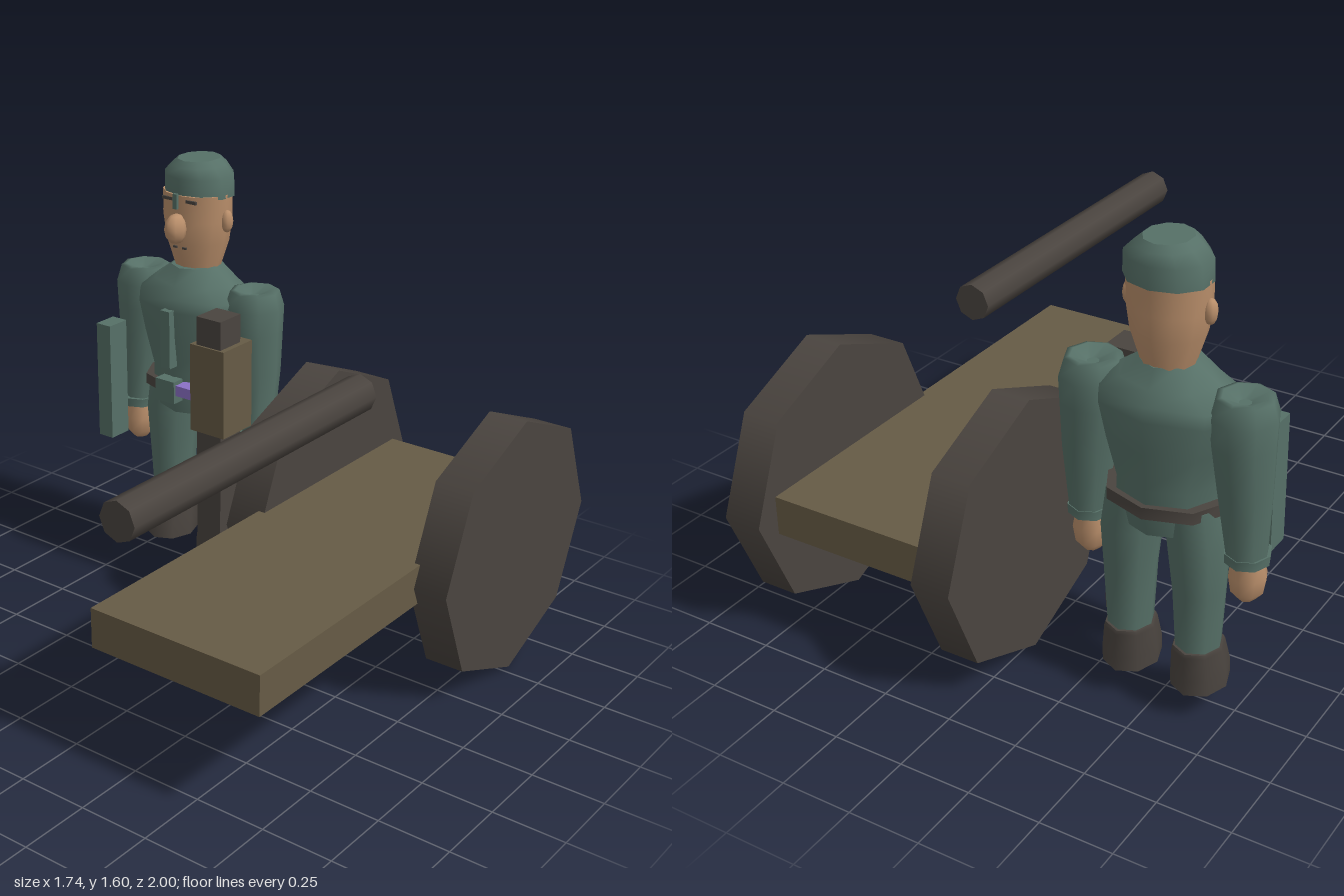
import * as THREE from 'three';

const mat = (name, color) => {
  const m = new THREE.MeshStandardMaterial({ color });
  m.name = name;
  return m;
};

// Loft through elliptical rings listed bottom to top: [y, rx, rz, cx, cz]
function loft(rings, n = 8) {
  const pos = [], idx = [];
  const point = ([y, rx, rz, cx = 0, cz = 0], j) => {
    const a = (j / n) * Math.PI * 2;
    pos.push(cx + Math.sin(a) * rx, y, cz + Math.cos(a) * rz);
  };
  rings.forEach((r) => { for (let j = 0; j < n; j++) point(r, j); });
  for (let i = 0; i < rings.length - 1; i++) {
    for (let j = 0; j < n; j++) {
      const a = i * n + j, b = i * n + (j + 1) % n;
      idx.push(a, b, b + n, a, b + n, a + n);
    }
  }
  // End caps keep their own vertices so the rim stays sharp
  [rings[0], rings[rings.length - 1]].forEach((r, top) => {
    const s = pos.length / 3;
    for (let j = 0; j < n; j++) point(r, j);
    for (let j = 1; j < n - 1; j++) {
      if (top) idx.push(s, s + j, s + j + 1);
      else idx.push(s, s + j + 1, s + j);
    }
  });
  const g = new THREE.BufferGeometry();
  g.setAttribute('position', new THREE.Float32BufferAttribute(pos, 3));
  g.setIndex(idx);
  g.computeVertexNormals();
  return g;
}

export function createModel() {
  const cloth = mat('uniform green', 0x567067);
  const dark = mat('dark metal', 0x4a443f);
  const wood = mat('wood brown', 0x665b45);
  const skin = mat('skin', 0xba8f6b);
  const purple = mat('purple', 0x8b70c6);

  const model = new THREE.Group();
  const add = (parent, name, geo, material, x = 0, y = 0, z = 0) => {
    const m = new THREE.Mesh(geo, material);
    m.name = name;
    m.position.set(x, y, z);
    parent.add(m);
    return m;
  };
  // Box given by its limits on each axis
  const box = (parent, name, material, x0, x1, y0, y1, z0, z1) =>
    add(parent, name, new THREE.BoxGeometry(x1 - x0, y1 - y0, z1 - z0), material,
      (x0 + x1) / 2, (y0 + y1) / 2, (z0 + z1) / 2);
  const ball = (parent, name, material, rx, ry, rz, x, y, z) =>
    add(parent, name, new THREE.SphereGeometry(1, 8, 6).scale(rx, ry, rz), material, x, y, z);

  // Gun carriage: deck, two wheels and the barrel
  const carriage = new THREE.Group();
  carriage.name = 'carriage';
  model.add(carriage);
  box(carriage, 'deck', wood, 0.095, 0.745, 0.4, 0.54, -0.91, 0.765);
  for (const x of [0.05, 0.795]) {
    add(carriage, 'wheel', new THREE.CylinderGeometry(0.465, 0.465, 0.14, 8).rotateZ(Math.PI / 2), dark, x, 0.465, -0.535);
  }
  add(carriage, 'barrel', new THREE.CylinderGeometry(0.065, 0.065, 1.21, 8).rotateX(Math.PI / 2), dark, 0.42, 1.025, 0.395);

  // Soldier, built around its own vertical axis
  const soldier = new THREE.Group();
  soldier.name = 'soldier';
  soldier.position.set(-0.508, 0, -0.53);
  model.add(soldier);

  // Jacket and belt
  add(soldier, 'jacket', loft([
    [0.66, 0.155, 0.13], [0.74, 0.175, 0.145], [0.82, 0.17, 0.145], [0.95, 0.215, 0.16],
    [1.06, 0.25, 0.165], [1.105, 0.25, 0.155], [1.15, 0.17, 0.13], [1.21, 0.085, 0.1],
  ]), cloth, 0, 0, 0.01);
  add(soldier, 'belt', loft([[0.735, 0.21, 0.165], [0.775, 0.21, 0.165]]), dark, 0, 0, 0.01);
  box(soldier, 'buckle', cloth, -0.043, 0.043, 0.72, 0.805, 0.15, 0.2);
  box(soldier, 'beltPouch', purple, 0.04, 0.142, 0.75, 0.79, 0.13, 0.19);
  box(soldier, 'chestStrap', cloth, -0.021, 0.021, 0.85, 1.07, 0.13, 0.195);

  // Head, cap and face
  add(soldier, 'head', loft([
    [1.18, 0.08, 0.08], [1.21, 0.088, 0.085], [1.3, 0.118, 0.108], [1.38, 0.131, 0.113], [1.48, 0.133, 0.113],
  ], 12), skin);
  add(soldier, 'cap', loft([
    [1.468, 0.138, 0.116], [1.54, 0.135, 0.12], [1.575, 0.1, 0.105], [1.597, 0.075, 0.085],
  ], 10), cloth, 0, 0, -0.01);
  ball(soldier, 'nose', skin, 0.038, 0.056, 0.05, 0, 1.362, 0.125);
  box(soldier, 'capBadge', cloth, -0.009, 0.009, 1.435, 1.49, 0.12, 0.132);

  // Paired parts
  for (const s of [-1, 1]) {
    ball(soldier, 'ear', skin, 0.022, 0.042, 0.024, s * 0.133, 1.385, 0);
    box(soldier, 'eye', dark, s * 0.054 - 0.023, s * 0.054 + 0.023, 1.457, 1.468, 0.1, 0.109);
    box(soldier, 'mouthMark', dark, s * 0.021 - 0.009, s * 0.021 + 0.009, 1.284, 1.291, 0.1, 0.108);

    const arm = s * 0.255, wrist = s * 0.275;
    add(soldier, 'arm', loft([
      [0.62, 0.065, 0.07, wrist, 0.01], [0.85, 0.088, 0.09, s * 0.267], [1.0, 0.1, 0.105, s * 0.258],
      [1.09, 0.107, 0.11, arm], [1.15, 0.09, 0.09, arm], [1.155, 0.07, 0.075, arm], [1.13, 0.02, 0.02, arm],
    ]), cloth, 0, 0, -0.005);
    add(soldier, 'cuff', loft([[0.595, 0.072, 0.077, wrist, 0.01], [0.628, 0.074, 0.079, wrist, 0.01]]), cloth);
    add(soldier, 'hand', loft([
      [0.455, 0.027, 0.03, wrist, 0.015], [0.485, 0.053, 0.055, wrist, 0.015],
      [0.54, 0.063, 0.062, wrist, 0.015], [0.6, 0.048, 0.05, wrist, 0.01],
    ]), skin);
    add(soldier, 'leg', loft([
      [0.23, 0.073, 0.08, s * 0.122], [0.45, 0.086, 0.092, s * 0.122],
      [0.62, 0.099, 0.11, s * 0.117], [0.76, 0.095, 0.11, s * 0.1],
    ]), cloth);
    add(soldier, 'boot', loft([
      [0.095, 0.092, 0.11, s * 0.124, 0.015], [0.15, 0.092, 0.11, s * 0.124, 0.012],
      [0.235, 0.084, 0.095, s * 0.122], [0.247, 0.08, 0.09, s * 0.122],
    ]), dark);
  }

  // Carried equipment
  const gear = new THREE.Group();
  gear.name = 'gear';
  model.add(gear);
  box(gear, 'sheath', cloth, -0.787, -0.723, 0.535, 0.98, -0.37, -0.278);
  box(gear, 'rifleBarrel', dark, -0.313, -0.207, 0.135, 1.11, -0.39, -0.275);
  box(gear, 'rifleStock', wood, -0.337, -0.187, 0.675, 1.005, -0.432, -0.267);

  return model;
}
